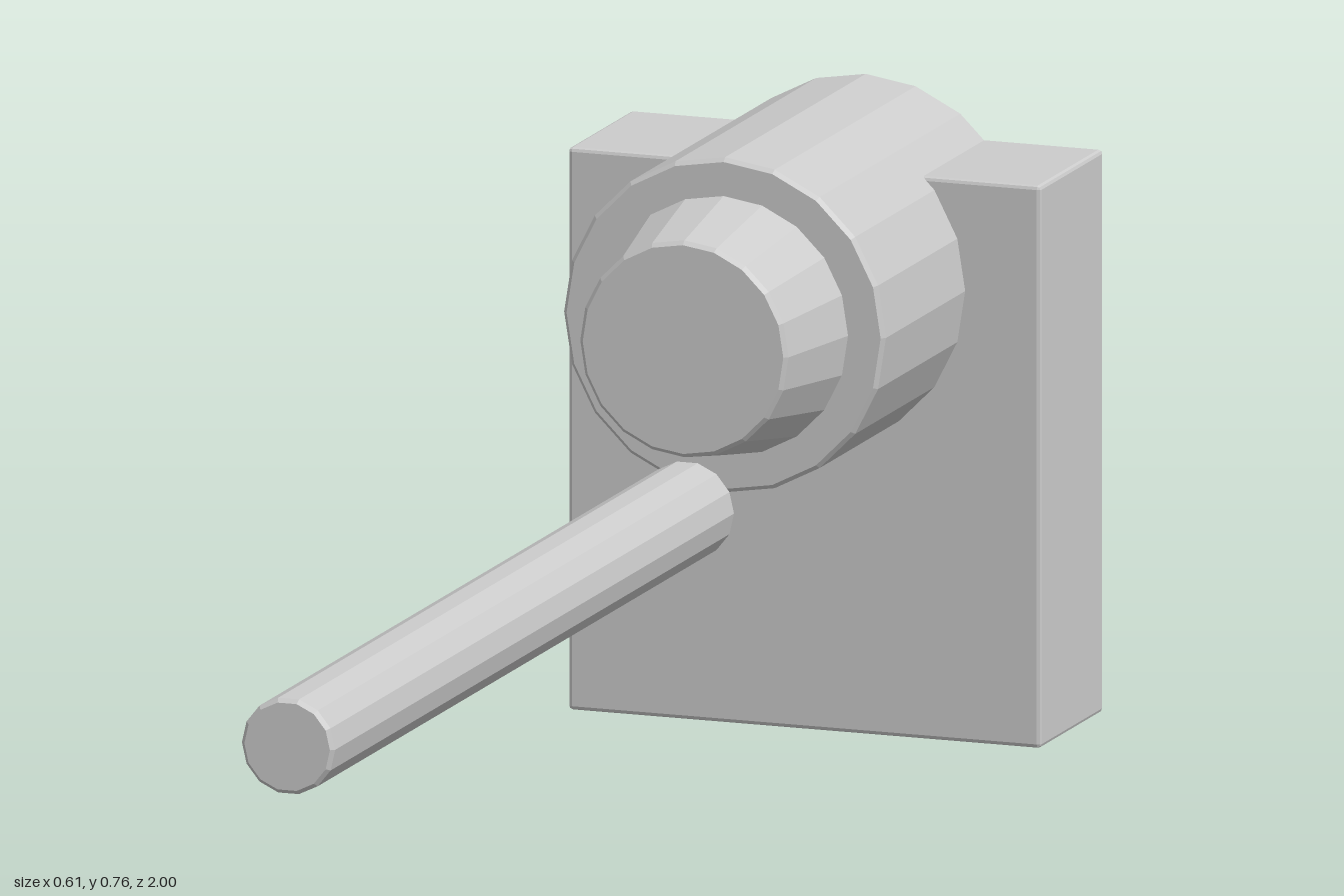
import * as THREE from 'three';
import { RoundedBoxGeometry } from 'three/addons/geometries/RoundedBoxGeometry.js';

const BEVEL = 0.005;

export function createModel() {
  const model = new THREE.Group();
  const material = new THREE.MeshStandardMaterial({ color: 0xcccccc, flatShading: true });

  const add = (name, geometry, y, z = 0) => {
    const mesh = new THREE.Mesh(geometry, material);
    mesh.name = name;
    mesh.position.set(0, y, z);
    model.add(mesh);
  };

  // Faceted round bar along z with small bevels at both ends
  const roundBar = (zBack, zFront, rBack, rFront, sides, turn = 0) => {
    const profile = [
      [0, zBack], [rBack - BEVEL, zBack], [rBack, zBack + BEVEL],
      [rFront, zFront - BEVEL], [rFront - BEVEL, zFront], [0, zFront],
    ].map(([r, z]) => new THREE.Vector2(r, z));
    return new THREE.LatheGeometry(profile, sides, turn).rotateX(Math.PI / 2);
  };

  // Upright block at the back
  add('backBlock', new RoundedBoxGeometry(0.608, 0.695, 0.217, 1, BEVEL), 0.3475, -0.8915);

  // Barrel set into the block, with a tapered nose
  add('barrel', roundBar(-1, -0.505, 0.207, 0.207, 20), 0.558);
  add('taperedNose', roundBar(-0.515, -0.365, 0.161, 0.134, 20), 0.558);

  // Long slender rod below the nose
  add('rod', roundBar(-0.385, 1, 0.06, 0.06, 14, Math.PI / 2), 0.357);

  return model;
}
